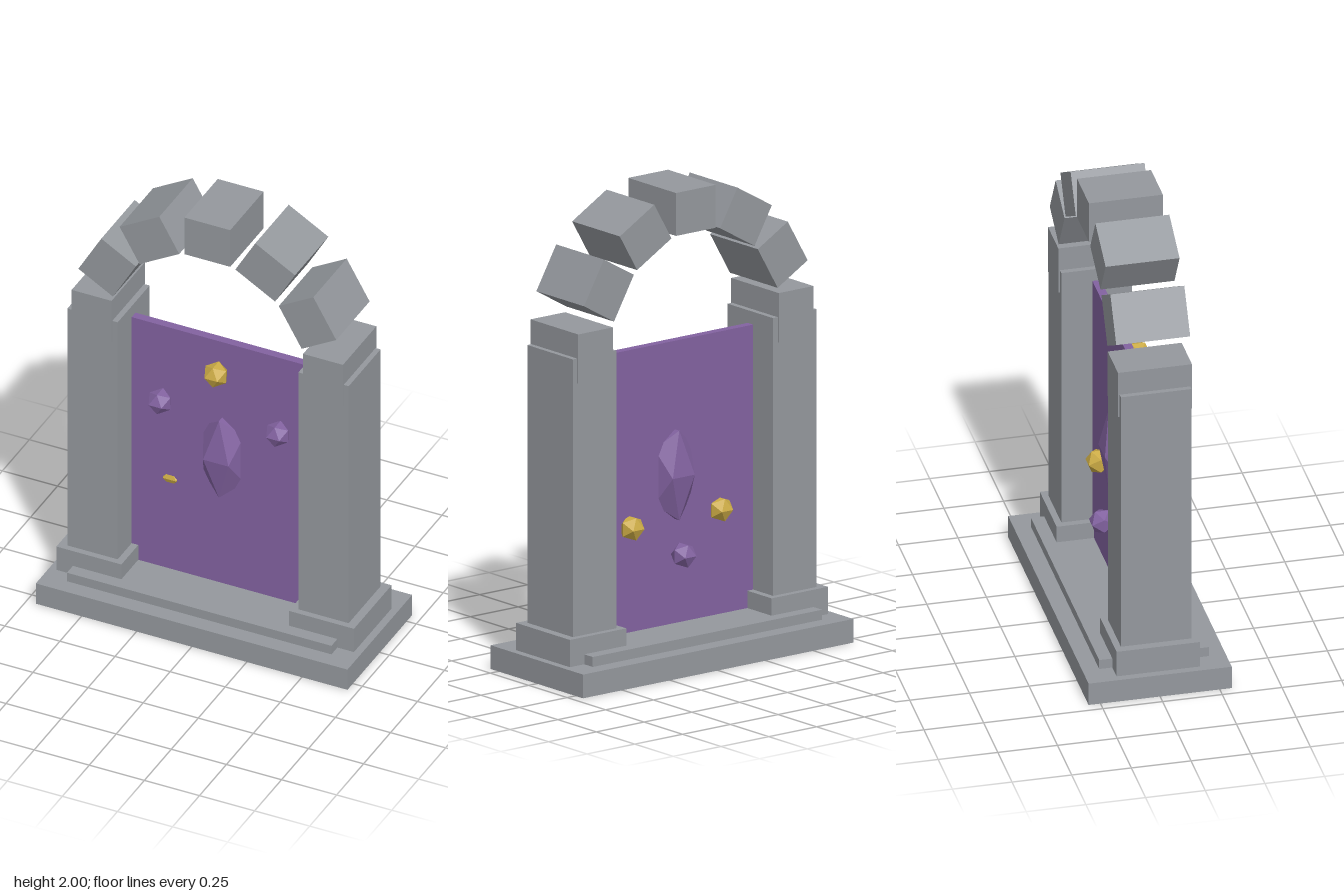
import * as THREE from 'three';

const material = (name, color) => {
  const m = new THREE.MeshStandardMaterial({ color });
  m.name = name;
  return m;
};

export function createModel() {
  const model = new THREE.Group();
  model.name = 'stonePortal';
  const stone = material('grey stone', 0x94989d);
  const purple = material('portal purple', 0x8262a0);
  const gold = material('gold', 0xcbab45);

  const add = (name, geometry, mat, x, y, z) => {
    const mesh = new THREE.Mesh(geometry, mat);
    mesh.name = name;
    mesh.position.set(x, y, z);
    model.add(mesh);
    return mesh;
  };
  // Box centred on x and z unless moved, given its bottom and top heights
  const slab = (name, mat, w, bottom, top, d, x = 0) =>
    add(name, new THREE.BoxGeometry(w, top - bottom, d), mat, x, (bottom + top) / 2, 0);

  // Stepped base
  slab('base', stone, 1.414, 0, 0.1, 0.6);
  slab('step', stone, 1.2, 0.1, 0.142, 0.46);

  // Pillars on plinths
  for (const side of [-1, 1]) {
    slab('plinth', stone, 0.295, 0.1, 0.215, 0.35, side * 0.5275);
    slab('pillar', stone, 0.228, 0.215, 1.386, 0.296, side * 0.524);
  }

  // Arch of seven separate blocks, one every 30 degrees
  const archBlock = new THREE.BoxGeometry(0.208, 0.181, 0.31);
  for (let i = -3; i <= 3; i++) {
    const a = i * Math.PI / 6;
    const block = add('archBlock', archBlock, stone,
      0.525 * Math.sin(a), 1.385 + 0.525 * Math.cos(a), 0);
    block.rotation.z = -a;
  }

  // Portal panel between the pillars
  slab('portalPanel', purple, 0.82, 0.14, 1.332, 0.036);

  // Faceted stones: icosahedron turned edge-forward, with unit half extents
  const gem = new THREE.IcosahedronGeometry(1 / 0.8507, 0).rotateY(Math.PI / 2);
  const crystal = add('centreCrystal', gem, purple, 0, 0.77, 0);
  crystal.scale.set(0.093, 0.189, 0.077);

  // Ring of small orbs, alternating colours, leaning through the panel
  const orbs = [
    [0, 1.208, 0.076], [0.265, 0.975, 0.044], [0.238, 0.585, -0.034],
    [0, 0.44, -0.076], [-0.268, 0.977, 0.046], [-0.236, 0.585, -0.022],
  ];
  orbs.forEach(([x, y, z], i) => {
    const isGold = [0, 2, 5].includes(i);
    add(isGold ? 'goldOrb' : 'purpleOrb', gem, isGold ? gold : purple, x, y, z)
      .scale.setScalar(0.047);
  });

  return model;
}
